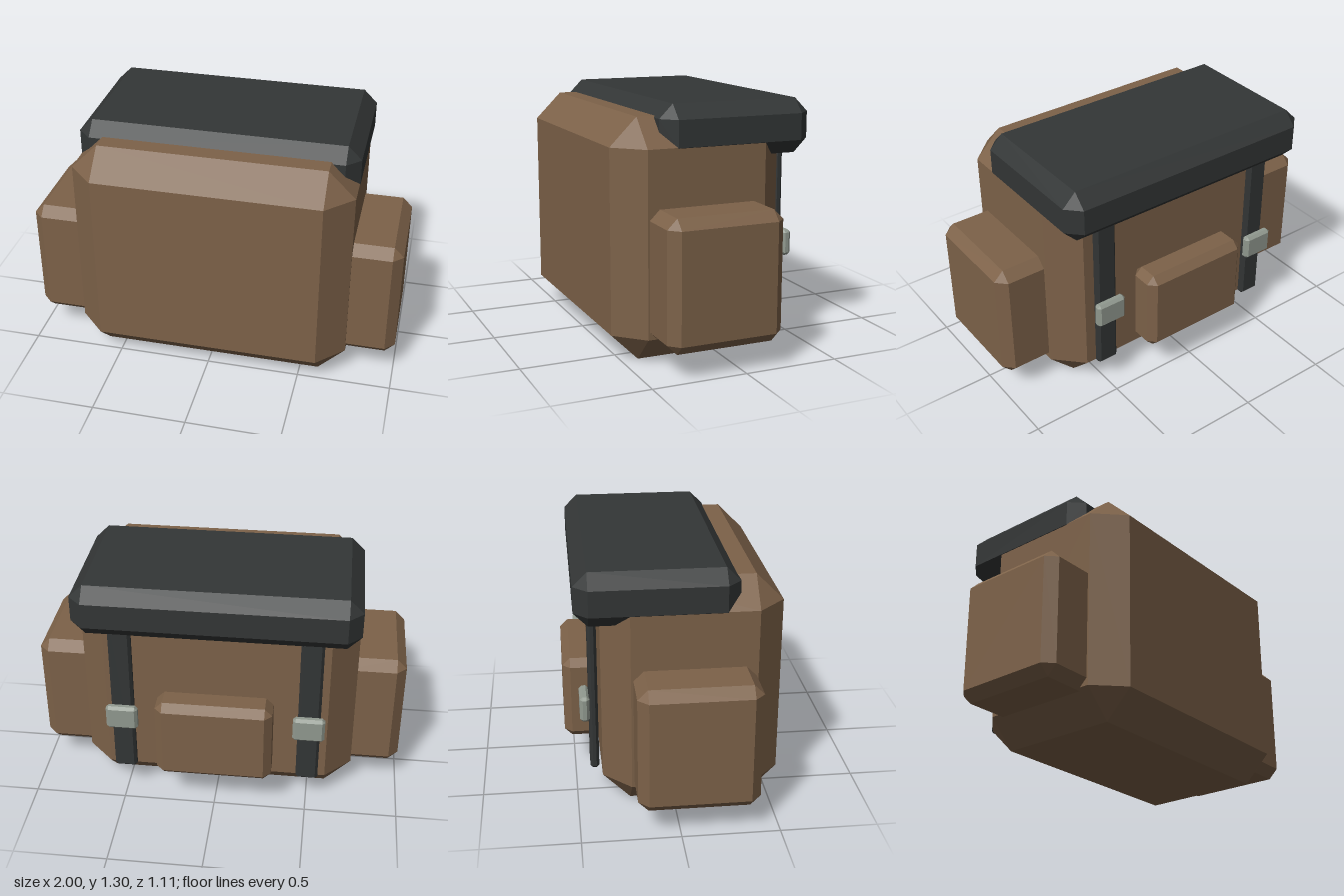
import * as THREE from 'three';
import { ConvexGeometry } from 'three/addons/geometries/ConvexGeometry.js';

// Box between two corners with every edge cut by a flat chamfer c
function chamferBox(min, max, c) {
  const size = max.map((v, i) => v - min[i]);
  const points = [];
  for (const sx of [-1, 1]) for (const sy of [-1, 1]) for (const sz of [-1, 1]) {
    const sign = [sx, sy, sz];
    // three points per corner, one lying on each of the adjoining faces
    for (let face = 0; face < 3; face++) {
      const p = sign.map((s, i) => s * (size[i] / 2 - (i === face ? 0 : c)));
      points.push(new THREE.Vector3(...p));
    }
  }
  const geometry = new ConvexGeometry(points);
  geometry.translate(...min.map((v, i) => (v + max[i]) / 2));
  return geometry;
}

export function createModel() {
  const model = new THREE.Group();
  model.name = 'backpack';

  const material = (color) => new THREE.MeshStandardMaterial({ color, flatShading: true });
  const canvas = material(0x7d6249);
  const dark = material(0x333636);
  const metal = material(0x929a90);

  const add = (name, mat, min, max, chamfer) => {
    const mesh = new THREE.Mesh(chamferBox(min, max, chamfer), mat);
    mesh.name = name;
    model.add(mesh);
  };

  // Main bag, lid flap and back pouch
  add('body', canvas, [-0.74, 0, -0.367], [0.74, 1.233, 0.553], 0.142);
  add('lid', dark, [-0.742, 1.017, -0.497], [0.742, 1.297, 0.323], 0.072);
  add('backPocket', canvas, [-0.31, 0.21, -0.553], [0.31, 0.67, -0.372], 0.04);

  // Mirrored pockets, straps and buckles
  for (const [side, s] of [['left', 1], ['right', -1]]) {
    const addSide = (name, mat, x, halfWidth, y, z, chamfer) =>
      add(side + name, mat, [s * x - halfWidth, y[0], z[0]], [s * x + halfWidth, y[1], z[1]], chamfer);
    addSide('SidePocket', canvas, 0.8, 0.2, [0.13, 0.797], [-0.213, 0.402], 0.052);
    addSide('Strap', dark, 0.5, 0.06, [0.158, 1.1], [-0.428, -0.382], 0.014);
    addSide('Buckle', metal, 0.5, 0.085, [0.446, 0.585], [-0.475, -0.425], 0.015);
  }

  return model;
}
